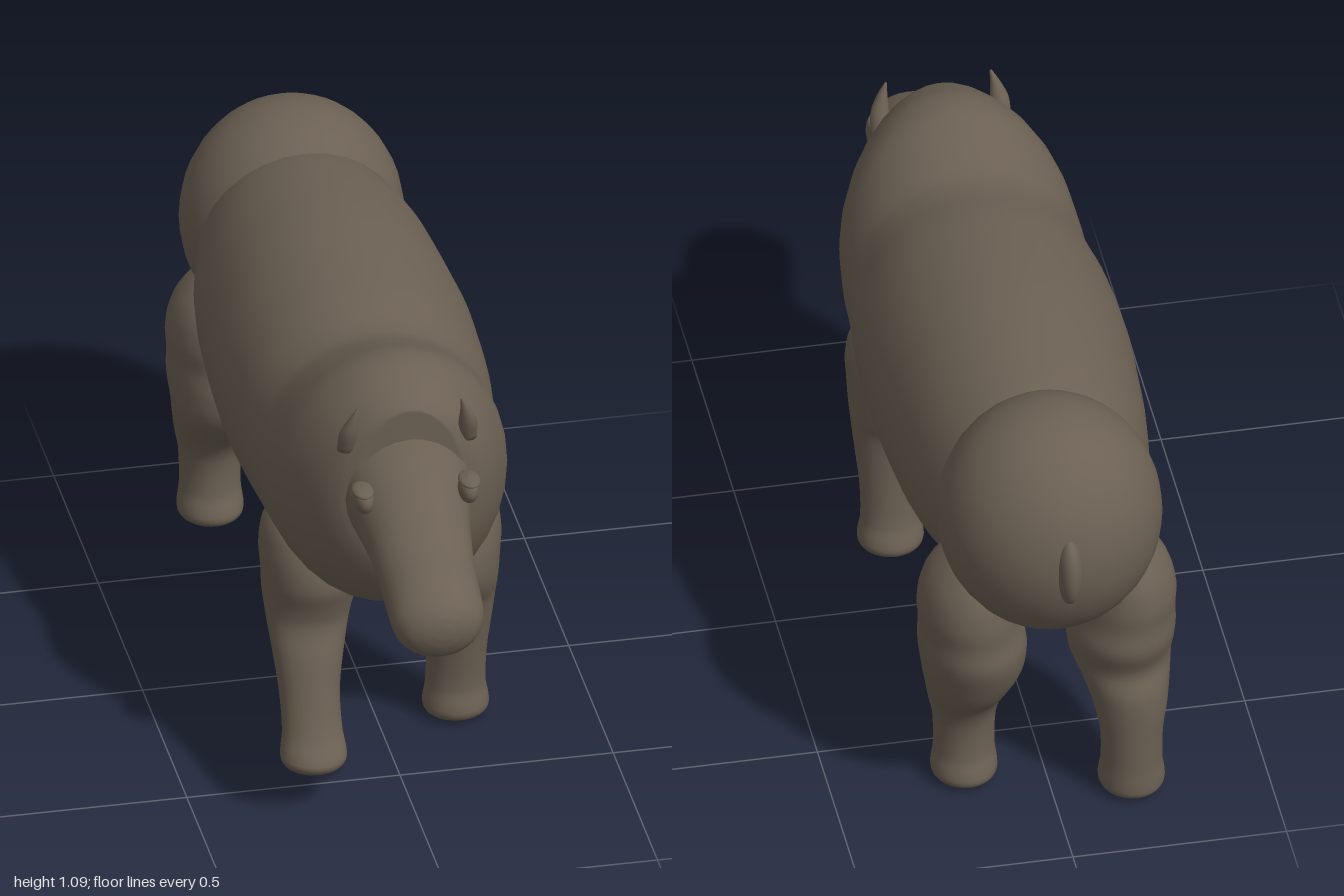
import * as THREE from 'three';

const hide = new THREE.MeshStandardMaterial({ color: 0x6b6053 });
hide.name = 'greyBrownHide';

// Smooth skin over elliptical sections [t, c1, c2, r1, r2], with t rising along 'y' or 'z'
function loft(rows, axis, sides = 28, steps = 4) {
  const pos = [], idx = [];
  const sections = [];
  const at = i => rows[Math.min(Math.max(i, 0), rows.length - 1)];
  for (let i = 0; i < rows.length - 1; i++) {
    for (let s = 0; s < steps; s++) {
      const u = s / steps;
      sections.push(rows[i].map((_, k) => {
        const p0 = at(i - 1)[k], p1 = at(i)[k], p2 = at(i + 1)[k], p3 = at(i + 2)[k];
        if (k === 0) return p1 + (p2 - p1) * u;
        // tangents scaled for uneven spacing
        const h = at(i + 1)[0] - at(i)[0];
        const m1 = (p2 - p0) / (at(i + 1)[0] - at(i - 1)[0]) * h;
        const m2 = (p3 - p1) / (at(i + 2)[0] - at(i)[0]) * h;
        const u2 = u * u, u3 = u2 * u;
        return (2 * u3 - 3 * u2 + 1) * p1 + (u3 - 2 * u2 + u) * m1 + (3 * u2 - 2 * u3) * p2 + (u3 - u2) * m2;
      }));
    }
  }
  sections.push(rows[rows.length - 1]);
  const put = (t, a, b) => (axis === 'y' ? pos.push(a, t, b) : pos.push(a, b, t));
  const dir = axis === 'y' ? -1 : 1;
  for (const [t, c1, c2, r1, r2] of sections) {
    for (let j = 0; j < sides; j++) {
      const a = (j / sides) * Math.PI * 2;
      put(t, c1 + r1 * Math.cos(a), c2 + dir * r2 * Math.sin(a));
    }
  }
  for (let i = 0; i < sections.length - 1; i++) {
    for (let j = 0; j < sides; j++) {
      const a = i * sides + j, b = i * sides + (j + 1) % sides;
      idx.push(a, b, b + sides, a, b + sides, a + sides);
    }
  }
  // closed ends
  const n = sections.length, first = sections[0], last = sections[n - 1];
  put(first[0], first[1], first[2]);
  put(last[0], last[1], last[2]);
  for (let j = 0; j < sides; j++) {
    const k = (j + 1) % sides, top = (n - 1) * sides;
    idx.push(n * sides, k, j, n * sides + 1, top + j, top + k);
  }
  const g = new THREE.BufferGeometry();
  g.setAttribute('position', new THREE.Float32BufferAttribute(pos, 3));
  g.setIndex(idx);
  g.computeVertexNormals();
  return g;
}

// Row for a section given by its bottom and top heights
const span = (z, bottom, top, halfWidth) => [z, 0, (bottom + top) / 2, halfWidth, (top - bottom) / 2];

export function createModel() {
  const model = new THREE.Group();
  const add = (name, geometry, parent = model) => {
    const mesh = new THREE.Mesh(geometry, hide);
    mesh.name = name;
    parent.add(mesh);
    return mesh;
  };
  const ball = (name, p, r, parent) => {
    const mesh = add(name, new THREE.SphereGeometry(1, 32, 22), parent);
    mesh.position.set(...p);
    mesh.scale.set(...r);
    return mesh;
  };

  // Barrel, chest and neck hump
  add('body', loft([
    span(-0.75, 0.60, 0.98, 0.20),
    span(-0.60, 0.49, 1.035, 0.25),
    span(-0.45, 0.435, 1.06, 0.285),
    span(-0.25, 0.405, 1.075, 0.302),
    span(-0.10, 0.405, 1.07, 0.31),
    span(0.08, 0.405, 1.055, 0.302),
    span(0.23, 0.405, 1.03, 0.286),
    span(0.33, 0.408, 1.058, 0.282),
    span(0.42, 0.425, 1.09, 0.268),
    span(0.49, 0.465, 1.088, 0.24),
    span(0.55, 0.525, 1.065, 0.205),
    span(0.59, 0.595, 1.045, 0.165),
    span(0.61, 0.66, 1.03, 0.12),
  ], 'z', 32));

  // Rump and tail stub
  ball('rump', [0, 0.8, -0.72], [0.26, 0.287, 0.255]);
  ball('tail', [0, 0.8, -0.955], [0.03, 0.09, 0.045]);

  // Head sloping down to a blunt muzzle
  add('head', loft([
    span(0.50, 0.64, 1.03, 0.16),
    span(0.58, 0.65, 0.985, 0.152),
    span(0.65, 0.645, 0.92, 0.134),
    span(0.73, 0.63, 0.865, 0.12),
    span(0.82, 0.602, 0.807, 0.112),
    span(0.89, 0.58, 0.777, 0.11),
    span(0.94, 0.574, 0.752, 0.105),
    span(0.975, 0.592, 0.728, 0.083),
    span(0.993, 0.622, 0.703, 0.05),
    span(1.0, 0.648, 0.678, 0.018),
  ], 'z'));

  for (const side of [1, -1]) {
    const label = side > 0 ? 'left' : 'right';

    // Eye with a flat upper lid
    const eye = new THREE.Group();
    eye.name = label + 'Eye';
    ball('eyeball', [side * 0.123, 0.855, 0.68], [0.024, 0.034, 0.037], eye);
    ball('eyelid', [side * 0.125, 0.878, 0.68], [0.025, 0.01, 0.04], eye);
    model.add(eye);

    // Small pointed ear, curling up from the brow
    add(label + 'Ear', loft([
      [0.93, side * 0.142, 0.575, 0.022, 0.02],
      [0.98, side * 0.14, 0.592, 0.022, 0.02],
      [1.02, side * 0.132, 0.603, 0.012, 0.012],
      [1.05, side * 0.123, 0.608, 0.003, 0.003],
    ], 'y', 12));

    // Front leg: the right one reaches forward
    const f = side > 0 ? [0.237, 0.237, 0.24, 0.248, 0.258, 0.265] : [0.415, 0.415, 0.395, 0.36, 0.325, 0.29];
    add(label + 'FrontLeg', loft([
      [0.004, side * 0.185, f[0], 0.045, 0.045],
      [0.018, side * 0.185, f[0], 0.071, 0.07],
      [0.04, side * 0.185, f[1], 0.077, 0.076],
      [0.09, side * 0.184, f[2], 0.07, 0.062],
      [0.18, side * 0.184, f[3], 0.071, 0.065],
      [0.27, side * 0.18, f[4], 0.084, 0.075],
      [0.34, side * 0.174, f[5], 0.097, 0.088],
      [0.39, side * 0.168, 0.272, 0.107, 0.115],
      [0.45, side * 0.166, 0.275, 0.112, 0.13],
      [0.53, side * 0.176, 0.272, 0.106, 0.118],
      [0.60, side * 0.185, 0.268, 0.08, 0.085],
      [0.65, side * 0.18, 0.265, 0.03, 0.03],
    ], 'y'));

    // Hind leg with a heavy thigh: the right one stands further back
    const h = side > 0 ? [-0.64, -0.635, -0.642, -0.662] : [-0.752, -0.76, -0.745, -0.712];
    add(label + 'HindLeg', loft([
      [0.004, side * 0.185, h[0], 0.045, 0.05],
      [0.018, side * 0.185, h[0], 0.071, 0.078],
      [0.04, side * 0.185, h[0], 0.077, 0.084],
      [0.09, side * 0.184, h[1], 0.071, 0.074],
      [0.18, side * 0.184, h[1], 0.073, 0.076],
      [0.24, side * 0.184, h[2], 0.085, 0.092],
      [0.30, side * 0.18, h[3], 0.1, 0.122],
      [0.36, side * 0.173, -0.675, 0.118, 0.14],
      [0.43, side * 0.174, -0.682, 0.125, 0.157],
      [0.49, side * 0.18, -0.685, 0.118, 0.15],
      [0.55, side * 0.185, -0.685, 0.115, 0.152],
      [0.62, side * 0.182, -0.685, 0.095, 0.135],
      [0.68, side * 0.17, -0.69, 0.05, 0.08],
      [0.70, side * 0.16, -0.69, 0.02, 0.03],
    ], 'y'));
  }

  return model;
}
